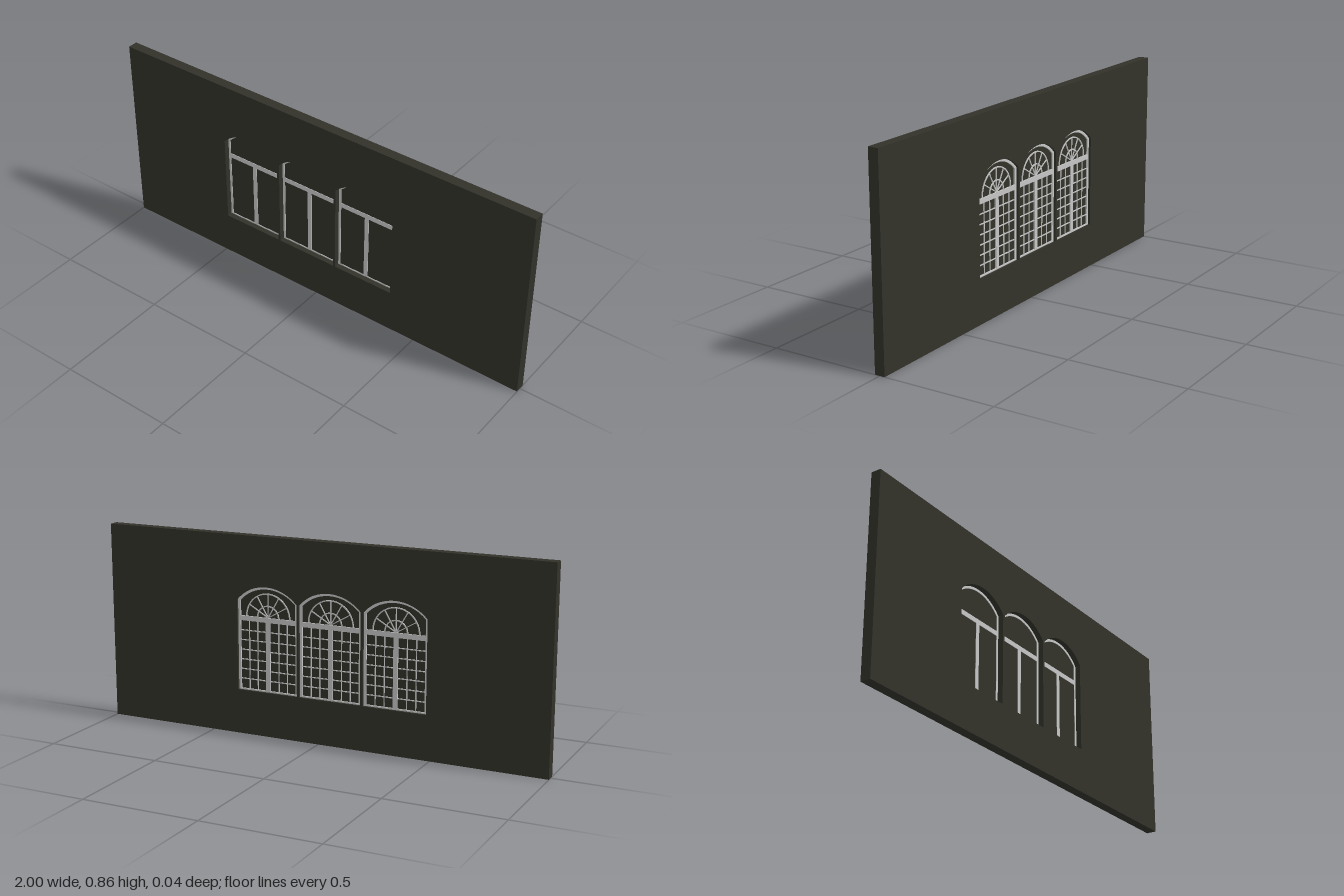
import * as THREE from 'three';

const wallMat = new THREE.MeshStandardMaterial({ color: 0x32322a });
wallMat.name = 'darkWall';
const frameMat = new THREE.MeshStandardMaterial({ color: 0xc6c6c6 });
frameMat.name = 'paleFrame';

const HALF = 0.14, BOTTOM = 0.193, APEX = 0.648, RADIUS = 0.19;
const ARC_Y = APEX - RADIUS;
const TRANSOM = 0.505, TRANSOM_H = 0.021;
const BACK = -0.012, FRONT = -0.002;

// Segmental-arch outline, inset by side (jambs and arch) and foot (sill)
function archOutline(target, cx, side = 0, foot = 0) {
  const w = HALF - side, r = RADIUS - side;
  const a = Math.acos(w / r);
  target.moveTo(cx - w, BOTTOM + foot);
  target.lineTo(cx + w, BOTTOM + foot);
  target.lineTo(cx + w, ARC_Y + r * Math.sin(a));
  target.absarc(cx, ARC_Y, r, a, Math.PI - a, false);
  target.closePath();
  return target;
}

function extrude(name, shape, z0, z1, mat) {
  const geo = new THREE.ExtrudeGeometry(shape, { depth: z1 - z0, bevelEnabled: false, curveSegments: 20 });
  geo.translate(0, 0, z0);
  const mesh = new THREE.Mesh(geo, mat);
  mesh.name = name;
  return mesh;
}

function bar(name, w, h, x, y, z0, z1) {
  const mesh = new THREE.Mesh(new THREE.BoxGeometry(w, h, z1 - z0), frameMat);
  mesh.position.set(x, y, (z0 + z1) / 2);
  mesh.name = name;
  return mesh;
}

function makeWindow() {
  const g = new THREE.Group();
  g.name = 'archedWindow';

  // Outer frame
  const frame = archOutline(new THREE.Shape(), 0);
  frame.holes.push(archOutline(new THREE.Path(), 0, 0.011, 0.006));
  g.add(extrude('frame', frame, BACK, FRONT, frameMat));

  // Dark pane hiding the glazing bars from the front
  g.add(extrude('pane', archOutline(new THREE.Shape(), 0, 0.005, 0.003), -0.006, -0.004, wallMat));

  // Transom and centre mullion
  g.add(bar('transom', 2 * HALF - 0.01, TRANSOM_H, 0, TRANSOM, BACK, FRONT));
  g.add(bar('mullion', 0.02, TRANSOM - BOTTOM, 0, (TRANSOM + BOTTOM) / 2, BACK, FRONT));

  // Glazing grid: three columns and seven rows on each leaf
  const z0 = -0.010, z1 = -0.0055, t = 0.004;
  const y0 = BOTTOM + 0.006, y1 = TRANSOM - TRANSOM_H / 2;
  const x0 = 0.01, x1 = HALF - 0.011;
  for (const s of [-1, 1]) {
    for (let i = 1; i < 3; i++)
      g.add(bar('verticalGlazingBar', t, y1 - y0, s * (x0 + (x1 - x0) * i / 3), (y0 + y1) / 2, z0, z1));
    for (let j = 1; j < 7; j++)
      g.add(bar('horizontalGlazingBar', x1 - x0, t, s * (x0 + x1) / 2, y0 + (y1 - y0) * j / 7, z0, z1));
  }

  // Fanlight: two concentric arcs and radial bars
  const fy = TRANSOM + TRANSOM_H / 2;
  for (const r of [0.052, 0.104]) {
    const ring = new THREE.Shape();
    ring.absarc(0, fy, r, 0, Math.PI, false);
    ring.absarc(0, fy, r - 0.005, Math.PI, 0, true);
    ring.closePath();
    g.add(extrude('fanArc', ring, z0, z1, frameMat));
  }
  for (let i = 1; i < 6; i++) {
    const a = Math.PI * i / 6, len = 0.101;
    const spoke = bar('fanSpoke', len, t, Math.cos(a) * len / 2, fy + Math.sin(a) * len / 2, z0, z1);
    spoke.rotation.z = a;
    g.add(spoke);
  }
  return g;
}

export function createModel() {
  const model = new THREE.Group();
  model.name = 'wallWithWindows';
  const centres = [-0.342, -0.051, 0.239];

  // Wall slab with three arched openings
  const wall = new THREE.Shape();
  wall.moveTo(-1, 0);
  wall.lineTo(1, 0);
  wall.lineTo(1, 0.86);
  wall.lineTo(-1, 0.86);
  wall.closePath();
  for (const cx of centres) wall.holes.push(archOutline(new THREE.Path(), cx));
  model.add(extrude('wall', wall, -0.022, 0.022, wallMat));

  for (const cx of centres) {
    const w = makeWindow();
    w.position.x = cx;
    model.add(w);
  }
  return model;
}
